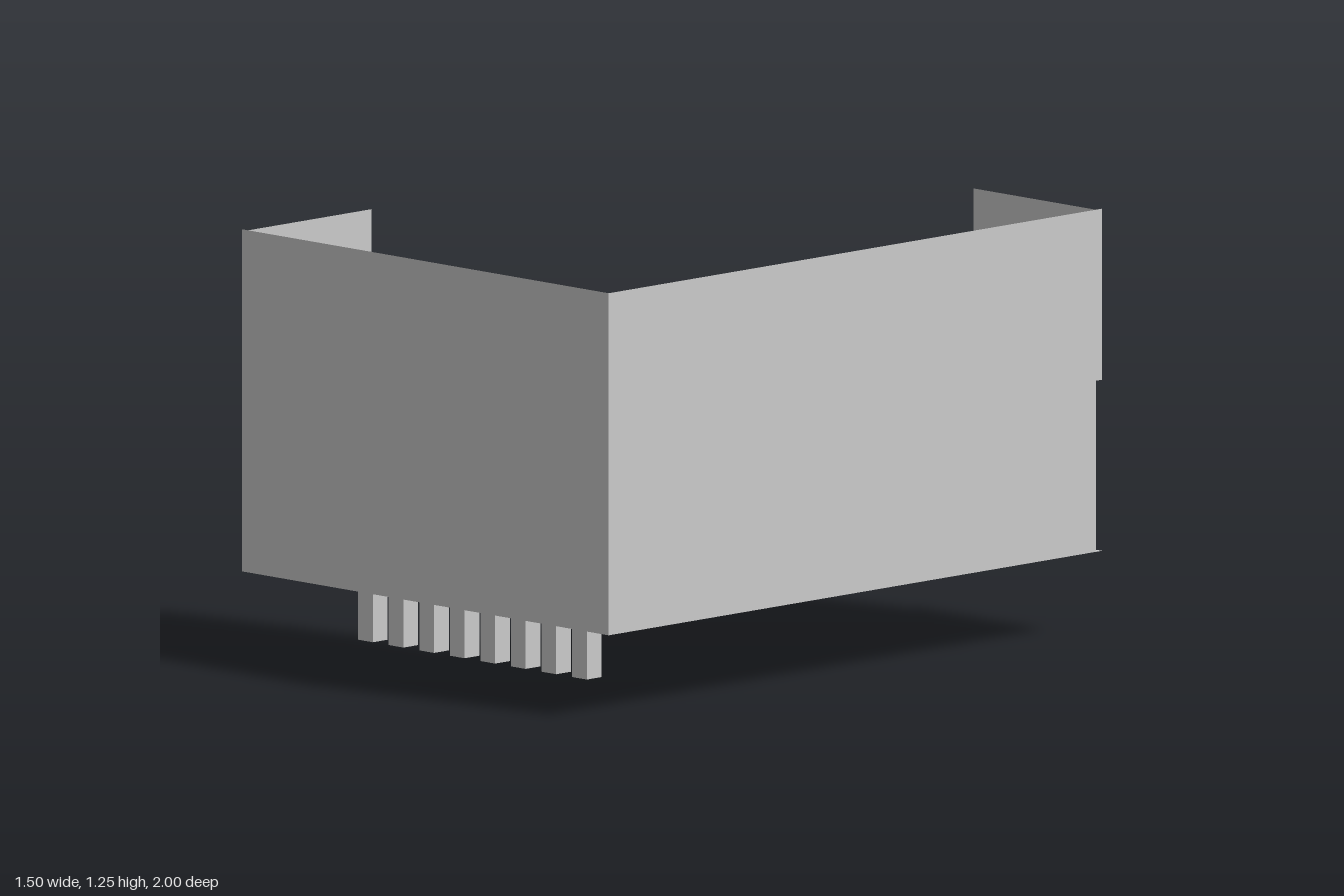
import * as THREE from 'three';

const FLOOR = 0.25, SPRING = 0.75, CROWN = 1.125, TOP = 1.25;
const SPAN = 0.5, RISE = CROWN - SPRING, STEPS = 32;
const material = new THREE.MeshStandardMaterial({ color: 0xcccccc, side: THREE.DoubleSide });

// Quarter-ellipse section: [distance from the inner wall, height]
function section(i, inset = 0) {
  const a = (i / STEPS) * Math.PI / 2;
  return [SPAN - (SPAN - inset) * Math.cos(a), SPRING + (RISE - inset) * Math.sin(a)];
}

// Ruled surface between two section curves
function loft(from, to) {
  const position = [], index = [];
  for (let i = 0; i <= STEPS; i++) {
    const [d, y] = section(i);
    position.push(...from(d, y), ...to(d, y));
    if (i < STEPS) index.push(2 * i, 2 * i + 1, 2 * i + 2, 2 * i + 1, 2 * i + 3, 2 * i + 2);
  }
  const g = new THREE.BufferGeometry();
  g.setAttribute('position', new THREE.Float32BufferAttribute(position, 3));
  g.setIndex(index);
  g.computeVertexNormals();
  return g;
}

function polygon(points) {
  return new THREE.Shape(points.map(([x, y]) => new THREE.Vector2(x, y)));
}

export function createModel() {
  const model = new THREE.Group();
  const add = (name, geometry) => {
    const mesh = new THREE.Mesh(geometry, material);
    mesh.name = name;
    model.add(mesh);
    return mesh;
  };
  // Flat sheets: across x at a given z, across z at a given x, and level
  const sheetX = (name, points, z) => add(name, new THREE.ShapeGeometry(polygon(points)).translate(0, 0, z));
  const sheetZ = (name, points, x) =>
    add(name, new THREE.ShapeGeometry(polygon(points.map(([z, y]) => [-z, y]))).rotateY(Math.PI / 2).translate(x, 0, 0));
  const level = (name, points, y) =>
    add(name, new THREE.ShapeGeometry(polygon(points.map(([x, z]) => [x, -z]))).rotateX(-Math.PI / 2).translate(0, y, 0));
  const rect = (a, b, y0, y1) => [[a, y0], [b, y0], [b, y1], [a, y1]];

  // L-shaped floor
  level('floor', [[-0.75, 0.5], [0.25, 0.5], [0.25, -1], [0.75, -1], [0.75, 1], [-0.75, 1]], FLOOR);

  // Tall outer walls
  sheetX('frontWall', rect(-0.75, 0.75, FLOOR, TOP), 1);
  sheetZ('sideWall', [[1, FLOOR], [1, TOP], [-1, TOP], [-1, SPRING], [-0.975, SPRING], [-0.975, FLOOR]], 0.75);

  // Low inner walls
  sheetX('innerWallShortWing', rect(-0.75, 0.25, FLOOR, SPRING), 0.5);
  sheetZ('innerWallLongWing', rect(-0.975, 0.5, FLOOR, SPRING), 0.25);

  // End wall with a doorway
  sheetZ('doorWall', [[0.5, FLOOR], [0.68, FLOOR], [0.68, 0.55], [0.84, 0.55],
    [0.84, FLOOR], [1, FLOOR], [1, SPRING], [0.5, SPRING]], -0.75);

  // Upper end panels
  sheetX('endPanelLongWing', rect(0.25, 0.75, SPRING, TOP), -0.975);
  sheetZ('endPanelShortWing', rect(0.5, 1, SPRING, TOP), -0.725);

  // Half-vault roofs, ruled corner joint and flat corner
  const longEnd = (d, y) => [0.25 + d, y, -0.975], longCorner = (d, y) => [0.25 + d, y, 0.5];
  const shortCorner = (d, y) => [0.25, y, 0.5 + d], shortEnd = (d, y) => [-0.725, y, 0.5 + d];
  add('vaultLongWing', loft(longEnd, longCorner));
  add('vaultCorner', loft(longCorner, shortCorner));
  add('vaultShortWing', loft(shortCorner, shortEnd));
  level('cornerRoof', [[0.75, 0.5], [0.75, 1], [0.25, 1]], CROWN);

  // Arched ribs on the end panels
  const outline = [];
  for (let i = 0; i <= STEPS; i++) outline.push(section(i));
  for (let i = STEPS; i >= 0; i--) outline.push(section(i, 0.02));
  const rib = () => new THREE.ExtrudeGeometry(polygon(outline), { depth: 0.025, bevelEnabled: false });
  add('archRibLongWing', rib().translate(0.25, 0, -1));
  add('archRibShortWing', rib().rotateY(-Math.PI / 2).translate(-0.725, 0, 0.5));

  // Row of posts under the short wing
  for (let i = 0; i < 8; i++) {
    add('post', new THREE.BoxGeometry(0.06, FLOOR, 0.06).translate(-0.6875 + i * 0.125, FLOOR / 2, 0.531));
  }

  // Tapered brackets along the side wall, tips just above the roof
  for (let i = 0; i < 6; i++) {
    const taper = new THREE.CylinderGeometry(0.04, 0.006, 0.52, 4).rotateY(Math.PI / 4);
    add('wallBracket', taper.translate(0.72, 0.87, -0.875 + i * 0.25));
  }
  return model;
}
